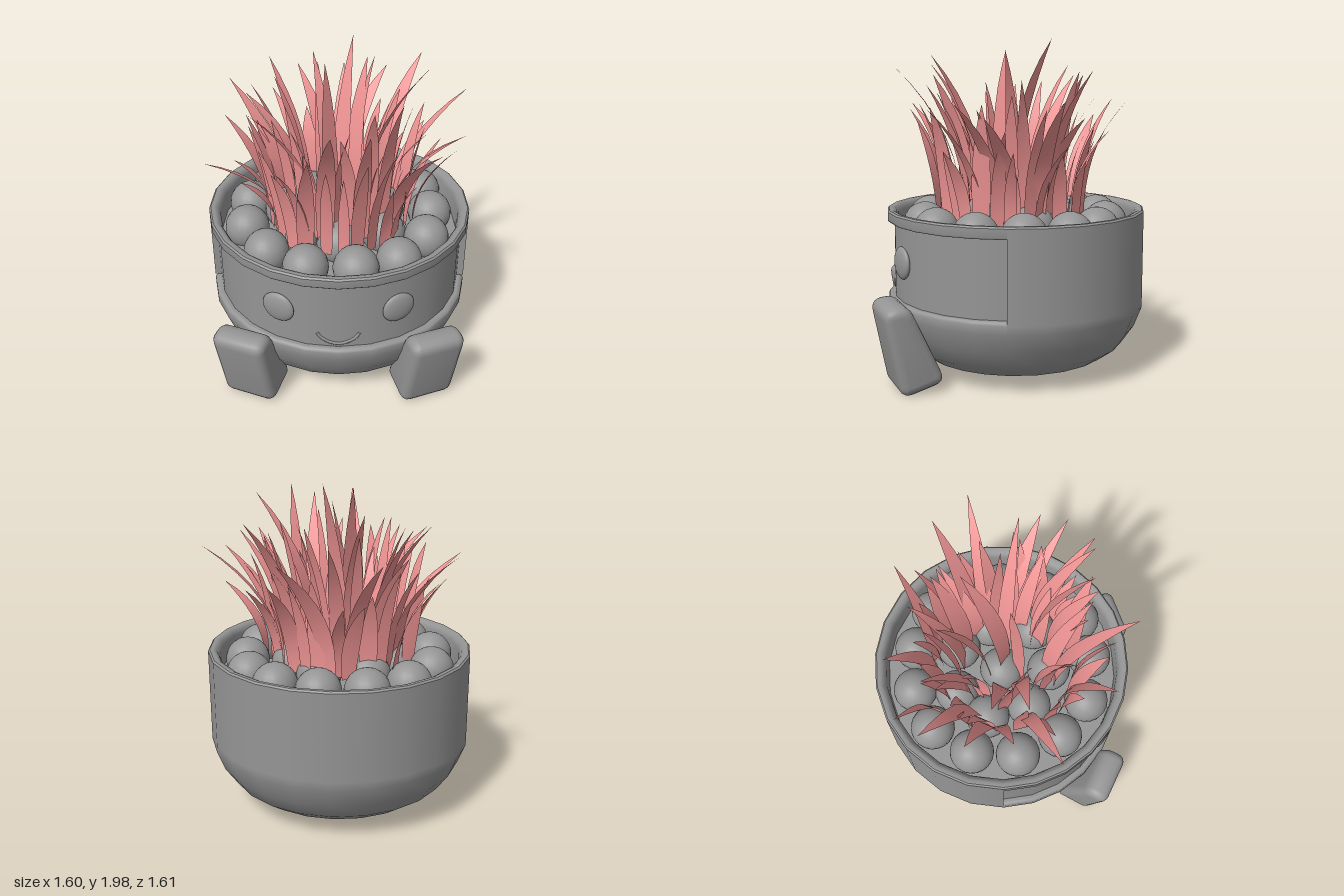
import * as THREE from 'three';
import { mergeGeometries, toCreasedNormals } from 'three/addons/utils/BufferGeometryUtils.js';

const CZ = -0.027; // pot axis
const R = 0.786, PANEL_R = 0.745;
const RECESS_ANGLE = 1.487; // half angle of the recessed face
const RECESS_LOW = 0.46, RECESS_HIGH = 0.91;

const grey = new THREE.MeshStandardMaterial({ color: 0x959595 });
const greyThin = new THREE.MeshStandardMaterial({ color: 0x959595, side: THREE.DoubleSide });
const pink = new THREE.MeshStandardMaterial({ color: 0xf09494, side: THREE.DoubleSide });

let seed = 11;
const rand = (a = 0, b = 1) => {
  seed = (seed * 16807) % 2147483647;
  return a + (b - a) * seed / 2147483647;
};

function addMesh(parent, name, geometry, material = grey) {
  const mesh = new THREE.Mesh(geometry, material);
  mesh.name = name;
  parent.add(mesh);
  return mesh;
}

// Profile points given twice make a sharp edge
const toPoints = (list) => list.map(([x, y]) => new THREE.Vector2(x, y));

function createPot() {
  const pot = new THREE.Group();
  pot.name = 'pot';
  pot.position.z = CZ;
  pot.scale.x = 1.02; // slightly oval
  const bowl = [
    [0, 0.05], [0.45, 0.05], [0.57, 0.09], [0.665, 0.16], [0.74, 0.27], [R, 0.39],
    [R, RECESS_LOW - 0.02],
  ];
  const recess = [
    [R - 0.006, RECESS_LOW - 0.006], [R - 0.02, RECESS_LOW], [R - 0.02, RECESS_LOW],
    [PANEL_R, RECESS_LOW], [PANEL_R, RECESS_LOW], [PANEL_R, RECESS_HIGH], [PANEL_R, RECESS_HIGH],
    [R - 0.01, RECESS_HIGH], [R - 0.01, RECESS_HIGH], [R, RECESS_HIGH + 0.01],
  ];
  const rim = [
    [R, 0.97], [R, 0.97], [R - 0.01, 0.98], [R - 0.01, 0.98], [0.755, 0.98], [0.735, 0.97],
    [0.72, 0.94], [0.715, 0.82], [0.715, 0.82], [0, 0.82],
  ];
  addMesh(pot, 'potFront', new THREE.LatheGeometry(
    toPoints([...bowl, ...recess, ...rim]), 12, -RECESS_ANGLE, 2 * RECESS_ANGLE));
  addMesh(pot, 'potBack', new THREE.LatheGeometry(
    toPoints([...bowl, ...rim]), 12, RECESS_ANGLE, 2 * (Math.PI - RECESS_ANGLE)));

  // Walls closing the two ends of the recess
  for (const side of [-1, 1]) {
    const phi = side * RECESS_ANGLE, r = (R + PANEL_R) / 2;
    const end = addMesh(pot, 'recessEnd',
      new THREE.PlaneGeometry(R - PANEL_R, RECESS_HIGH - RECESS_LOW), greyThin);
    end.position.set(r * Math.sin(phi), (RECESS_LOW + RECESS_HIGH) / 2, r * Math.cos(phi));
    end.rotation.y = phi - Math.PI / 2;
  }
  return pot;
}

function createFace() {
  const face = new THREE.Group();
  face.name = 'face';
  for (const side of [-1, 1]) {
    const eye = addMesh(face, side > 0 ? 'leftEye' : 'rightEye', new THREE.SphereGeometry(1, 24, 16));
    eye.scale.set(0.102, 0.096, 0.03);
    eye.position.set(side * 0.345, 0.695, 0.64);
    eye.rotation.y = side * 0.47;
  }
  // Smile laid on the panel
  const points = [];
  for (let i = 0; i <= 12; i++) {
    const a = -1.3 + 2.6 * i / 12, x = 0.127 * Math.sin(a);
    points.push(new THREE.Vector3(x, 0.585 - 0.1 * Math.cos(a), 0.718 - 0.13 * Math.abs(x)));
  }
  addMesh(face, 'smile', new THREE.TubeGeometry(new THREE.CatmullRomCurve3(points), 24, 0.01, 6));
  return face;
}

// Polygon with rounded corners
function roundedShape(corners, radius) {
  const shape = new THREE.Shape(), pts = toPoints(corners), n = pts.length;
  pts.forEach((p, i) => {
    const toward = (q) => p.clone().add(q.clone().sub(p).setLength(radius));
    const a = toward(pts[(i + n - 1) % n]), b = toward(pts[(i + 1) % n]);
    if (i === 0) shape.moveTo(a.x, a.y);
    else shape.lineTo(a.x, a.y);
    shape.quadraticCurveTo(p.x, p.y, b.x, b.y);
  });
  shape.closePath();
  return shape;
}

// Wedge-shaped leg with the sole facing forward
function createLeg(side) {
  const width = 0.335, bevel = 0.05;
  const shape = roundedShape([[0, -0.005], [0.105, 0.51], [-0.045, 0.53], [-0.26, 0.065]], 0.07);
  const geometry = new THREE.ExtrudeGeometry(shape, {
    depth: width - 2 * bevel, bevelThickness: bevel, bevelSize: bevel, bevelOffset: -bevel,
    bevelSegments: 4, curveSegments: 5,
  });
  geometry.translate(0, 0, bevel - width / 2);
  geometry.rotateY(-Math.PI / 2);
  const leg = addMesh(new THREE.Group(), side > 0 ? 'leftLeg' : 'rightLeg', toCreasedNormals(geometry, 0.7));
  leg.position.set(side * 0.545, 0, 0.672);
  leg.rotation.y = side * 0.39;
  leg.rotation.z = side * -0.03;
  return leg;
}

// Outer ring, inner ring and middle pebble as x, z
const PEBBLES = [
  [-0.19, -0.55], [0.085, -0.57], [0.34, -0.49], [0.515, -0.32], [0.565, -0.06], [0.525, 0.21],
  [0.35, 0.44], [0.1, 0.52], [-0.19, 0.51], [-0.425, 0.36], [-0.56, 0.11], [-0.56, -0.17], [-0.425, -0.42],
  [-0.185, -0.29], [0.105, -0.3], [0.275, -0.12], [0.27, 0.16], [0, 0.27], [-0.245, 0.16], [-0.33, -0.09],
  [-0.015, -0.025],
];

function createPebbles() {
  const pebbles = new THREE.Group();
  pebbles.name = 'pebbles';
  const ball = new THREE.SphereGeometry(0.135, 20, 14);
  for (const [x, z] of PEBBLES) addMesh(pebbles, 'pebble', ball).position.set(x, 0.885, z);
  return pebbles;
}

// Flat tapering blade that bends from its root toward its tip
const ROOT_Y = 0.9;
function bladeGeometry([rootX, rootZ, tipX, tipZ, tipY], halfWidth, twist) {
  const steps = 8, positions = [], index = [];
  const dx = tipX - rootX, dz = tipZ - rootZ, across = Math.atan2(-dx, dz);
  for (let i = 0; i <= steps; i++) {
    const t = i / steps;
    const w = halfWidth * (0.75 + 1.1 * t) * (1 - t ** 1.6), angle = across + twist * (0.4 + t);
    const x = rootX + dx * t * t, z = rootZ + dz * t * t;
    const y = ROOT_Y + (tipY - ROOT_Y) * (t - 0.12 * t * t) / 0.88;
    const c = w * Math.cos(angle), s = w * Math.sin(angle);
    positions.push(x - c, y, z - s, x + c, y, z + s);
    if (i < steps) {
      const k = 2 * i;
      index.push(k, k + 1, k + 3, k, k + 3, k + 2);
    }
  }
  const geometry = new THREE.BufferGeometry();
  geometry.setAttribute('position', new THREE.Float32BufferAttribute(positions, 3));
  geometry.setIndex(index);
  geometry.computeVertexNormals();
  return geometry;
}

// Long blades: root x, z, then tip x, z, y
const LONG_BLADES = [
  [-0.34, 0.13, -0.75, 0.36, 1.48], [-0.34, -0.4, -0.57, -0.57, 1.52], [-0.34, -0.15, -0.68, -0.42, 1.63],
  [-0.42, -0.07, -0.69, -0.18, 1.5], [-0.21, -0.15, -0.43, -0.42, 1.78], [-0.08, -0.4, -0.27, -0.65, 1.63],
  [-0.06, -0.1, -0.16, -0.36, 1.84], [-0.2, 0, -0.54, -0.04, 1.72], [-0.14, 0.09, -0.52, 0.16, 1.68],
  [-0.2, 0.36, -0.36, 0.63, 1.6], [-0.08, 0.3, -0.04, 0.71, 1.83], [0.13, 0.26, 0.17, 0.5, 1.72],
  [0.18, 0.15, 0.19, 0.47, 1.84], [0.26, 0.15, 0.34, 0.46, 1.89], [0.32, 0.19, 0.56, 0.48, 1.6],
  [0.32, 0.07, 0.66, 0.32, 1.62], [0.36, 0, 0.72, 0.16, 1.55], [0.34, -0.15, 0.77, -0.27, 1.64],
  [0.24, -0.2, 0.5, -0.44, 1.8], [0.04, -0.42, 0.3, -0.65, 1.62], [0, 0, 0.08, -0.24, 1.99],
  [-0.05, 0.08, -0.08, 0.03, 1.93], [0.14, -0.02, 0.5, 0.04, 1.9], [0.08, -0.24, 0.17, -0.42, 1.78],
];

function createGrass() {
  const blades = LONG_BLADES.map((b) => bladeGeometry(b, rand(0.05, 0.068), rand(-0.6, 0.6)));
  // Shorter blades in rings: count, radius, tip height range, lean range
  for (const [count, radius, y0, y1, l0, l1] of [
    [28, 0.42, 1.32, 1.62, 0.08, 0.26],
    [16, 0.27, 1.5, 1.8, 0.1, 0.3],
  ]) {
    for (let i = 0; i < count; i++) {
      const a = (i + rand(-0.3, 0.3)) / count * Math.PI * 2, r = radius + rand(-0.04, 0.04);
      const x = r * Math.sin(a), z = r * Math.cos(a);
      const heading = a + rand(-0.6, 0.6), lean = rand(l0, l1);
      blades.push(bladeGeometry(
        [x, z, x + lean * Math.sin(heading), z + lean * Math.cos(heading), rand(y0, y1)],
        rand(0.04, 0.06), rand(-0.7, 0.7)));
    }
  }
  return mergeGeometries(blades);
}

export function createModel() {
  const model = new THREE.Group();
  model.name = 'planter';
  model.add(createPot(), createFace(), createLeg(1), createLeg(-1), createPebbles());
  addMesh(model, 'grass', createGrass(), pink);
  return model;
}
